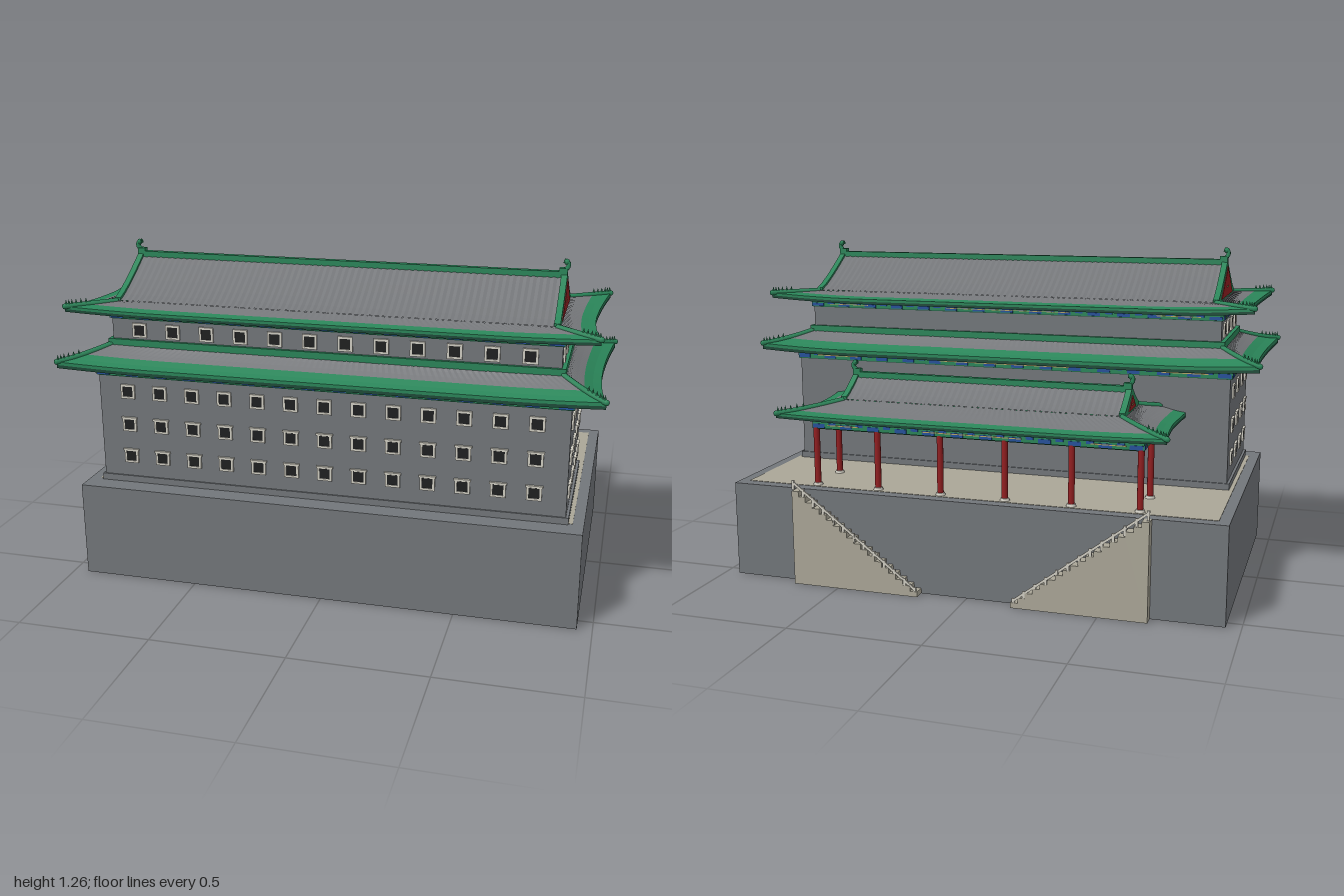
import * as THREE from 'three';

const mat = (name, color, side = THREE.FrontSide) => {
  const m = new THREE.MeshStandardMaterial({ color, side });
  m.name = name;
  return m;
};
const M = {
  brick: mat('grey brick', 0x72767a, THREE.DoubleSide),
  tile: mat('grey roof tile', 0x75777a, THREE.DoubleSide),
  green: mat('green glaze', 0x2a8559, THREE.DoubleSide),
  shade: mat('dark green timber', 0x1d4a38, THREE.DoubleSide),
  stone: mat('pale stone', 0xaaa697, THREE.DoubleSide),
  frame: mat('window frame', 0xd0cdc2),
  dark: mat('dark opening', 0x1e1f20),
  red: mat('red lacquer', 0x921e20),
  blue: mat('blue paint', 0x24509a),
  gold: mat('gold paint', 0xb8a468),
};

function add(parent, name, geo, material, x = 0, y = 0, z = 0) {
  const m = new THREE.Mesh(geo, material);
  m.name = name;
  m.position.set(x, y, z);
  parent.add(m);
  return m;
}
const box = (p, name, m, w, h, d, x, y, z) => add(p, name, new THREE.BoxGeometry(w, h, d), m, x, y, z);
function group(parent, name) {
  const g = new THREE.Group();
  g.name = name;
  parent.add(g);
  return g;
}

// Faceted surface from a rule fn(u, v, i) -> [x, y, z]
function grid(fn, nu, nv) {
  const pos = [], idx = [];
  for (let j = 0; j <= nv; j++) for (let i = 0; i <= nu; i++) pos.push(...fn(i / nu, j / nv, i));
  for (let j = 0; j < nv; j++) for (let i = 0; i < nu; i++) {
    const a = j * (nu + 1) + i, b = a + nu + 1;
    idx.push(a, b, a + 1, b, b + 1, a + 1);
  }
  let g = new THREE.BufferGeometry();
  g.setAttribute('position', new THREE.Float32BufferAttribute(pos, 3));
  g.setIndex(idx);
  g = g.toNonIndexed();
  g.computeVertexNormals();
  return g;
}
const lerp = THREE.MathUtils.lerp;

// Four eaves with upswept corners; i = inner halves, e = outer halves, w = wall halves
function skirt(parent, o) {
  const g = group(parent, o.name + 'Eaves');
  g.position.z = o.z;
  for (let k = 0; k < 4; k++) {
    const long = k % 2 === 0, sg = k < 2 ? 1 : -1;
    const pick = a => (long ? a : [a[1], a[0]]);
    const [ia, ip] = pick(o.i), [ea, ep] = pick(o.e), [wa, wp] = pick(o.w);
    const place = (a, y, p) => (long ? [a * sg, y, p * sg] : [p * sg, y, -a * sg]);
    const flare = s => Math.max(0, 1 - (1 - Math.abs(s)) * ea / 0.36) ** 2;
    const top = (s, v, rib = 0) => {
      const f = flare(s), c = 1 - (1 - v) ** 1.4;
      return place(lerp(s * ia, s * (ea + o.c), v), lerp(o.yi, o.ye + o.lift * f, c) + rib, lerp(ip, ep + o.c * f, v));
    };
    const n = 2 * Math.round(ea / 0.012);
    const s = u => u * 2 - 1;
    add(g, 'tiledSlope', grid((u, v, i) => top(s(u), v * o.split, i % 2 ? 0.0018 * (1 - v) : 0), n, 3), M.tile);
    add(g, 'glazedBorder', grid((u, v) => top(s(u), lerp(o.split, 1, v)), n, 2), M.green);
    // Glazed fascia, dark rafter ends below it, and soffit
    const lip = (u, d) => { const p = top(s(u), 1); p[1] -= d; return p; };
    add(g, 'fascia', grid((u, v) => lip(u, v * o.thick * 0.5), n, 1), M.green);
    add(g, 'rafterEnds', grid((u, v) => lip(u, o.thick * (0.5 + v * 0.5)), n, 1), M.shade);
    add(g, 'soffit', grid((u, v) => {
      const a = lip(u, o.thick), b = place(s(u) * wa, o.yw, wp);
      return a.map((q, i) => lerp(q, b[i], v));
    }, n, 1), M.shade);
    // Hip ridge with a row of small finials
    const pts = [0, 0.3, 0.6, 0.85, 1].map(v => new THREE.Vector3(...top(1, v)));
    const hip = new THREE.CatmullRomCurve3(pts);
    add(g, 'hipRidge', new THREE.TubeGeometry(hip, 10, 0.011, 6), M.green);
    add(g, 'hipTip', new THREE.SphereGeometry(0.011, 6, 4), M.green, ...pts[4].toArray());
    for (let j = 0; j < 6; j++) {
      const p = hip.getPoint(0.5 + j * 0.09);
      add(g, 'hipFinial', new THREE.ConeGeometry(0.006, 0.02, 5), M.green, p.x, p.y + 0.015, p.z);
    }
  }
}

// Gabled upper part: two curved slopes, gable ends, ridge and ridge ornaments
function gable(parent, o) {
  const g = group(parent, o.name + 'Gable');
  g.position.z = o.z;
  const [gx, gz] = o.i;
  const h = o.yr - o.yi, yAt = t => o.yi + h * t ** 1.2;
  const n = 2 * Math.round(gx / 0.012);
  for (const s of [1, -1]) {
    add(g, 'mainSlope', grid((u, v, i) =>
      [(u * 2 - 1) * gx, yAt(1 - v) + (i % 2 ? 0.003 : 0), s * v * gz], n, 6), M.tile);
    // Gable wall with its red panel
    const shape = new THREE.Shape();
    shape.moveTo(-gz, o.yi - 0.015);
    for (let i = 0; i <= 12; i++) {
      const z = -1 + i / 6;
      shape.lineTo(z * gz, yAt(1 - Math.abs(z)) + 0.012);
    }
    shape.lineTo(gz, o.yi - 0.015);
    const end = add(g, 'gableEnd', new THREE.ExtrudeGeometry(shape, { depth: 0.022, bevelEnabled: false }), M.green);
    end.rotation.y = Math.PI / 2;
    end.position.x = s * gx - 0.011;
    const tri = new THREE.Shape();
    tri.moveTo(-gz * o.panel, o.yi + 0.006);
    tri.lineTo(gz * o.panel, o.yi + 0.006);
    tri.lineTo(0, o.yp);
    const panel = add(g, 'gablePanel', new THREE.ExtrudeGeometry(tri, { depth: 0.004, bevelEnabled: false }), M.red);
    panel.rotation.y = Math.PI / 2;
    panel.position.x = s * (gx + 0.012) - 0.002;
    for (const z of [-0.09, 0, 0.09])
      box(g, 'gableGilding', M.gold, 0.003, 0.005, 0.007, s * (gx + 0.014), o.yi + h * 0.32, z * gz);
    // Ridge-end ornament
    const k = 0.06;
    box(g, 'ridgeEnd', M.green, 0.03, k * 0.6, 0.024, s * (gx - 0.004), o.yr + k * 0.15, 0);
    const horn = new THREE.CatmullRomCurve3([[0, 0.3], [0.012, 0.55], [0.01, 0.8], [-0.004, 0.88]]
      .map(([x, y]) => new THREE.Vector3(s * (gx + x), o.yr + y * k, 0)));
    add(g, 'ridgeHorn', new THREE.TubeGeometry(horn, 8, 0.009, 6), M.green);
    add(g, 'ridgeKnob', new THREE.SphereGeometry(0.011, 6, 5), M.green, s * (gx + 0.006), o.yr + k * 0.82, 0);
  }
  box(g, 'mainRidge', M.green, gx * 2, 0.034, 0.024, 0, o.yr - 0.002, 0);
}

// Painted beam ring: green with blue panels, gold lines and red bracket ends
function frieze(parent, hx, hz, y, h, z) {
  const g = group(parent, 'paintedFrieze');
  g.position.set(0, y, z);
  box(g, 'beam', M.green, hx * 2, h, hz * 2, 0, 0, 0);
  box(g, 'beamUnderside', M.shade, hx * 2 - 0.01, 0.004, hz * 2 - 0.01, 0, -h / 2 - 0.001, 0);
  for (let k = 0; k < 4; k++) {
    const side = group(g, 'paintedSide');
    side.rotation.y = k * Math.PI / 2;
    const [half, out] = k % 2 ? [hz, hx] : [hx, hz];
    const n = Math.round(half / 0.06) * 2 + 1, st = half * 2 / n;
    for (let i = 0; i < n; i++) {
      const x = -half + st * (i + 0.5);
      // Longer low panels alternate with short high ones
      if (i % 2 === 0) box(side, 'bluePanel', M.blue, st * 0.85, h * 0.46, 0.005, x, -h * 0.2, out);
      else box(side, 'bluePanel', M.blue, st * 0.5, h * 0.3, 0.005, x, h * 0.02, out);
      for (const d of [-0.25, 0.25])
        box(side, 'redBracket', M.red, st * 0.12, h * 0.15, 0.006, x + d * st, h * 0.34, out);
    }
    // Long gold lines at the middle and near both ends
    for (const [c, w] of [[0, 0.6], [-0.8, 0.2], [0.8, 0.2]])
      box(side, 'goldLine', M.gold, half * w, h * 0.1, 0.007, half * c, -h * 0.1, out);
  }
}

function windowAt(parent, x, y, z, turn, lintel) {
  const g = group(parent, 'window');
  g.position.set(x, y, z);
  g.rotation.y = turn;
  for (const s of [1, -1]) {
    box(g, 'jamb', M.frame, 0.008, 0.053, 0.014, s * 0.0235, 0, 0);
    box(g, 'rail', M.frame, 0.055, 0.008, 0.014, 0, s * 0.0235, 0);
  }
  box(g, 'opening', M.dark, 0.04, 0.04, 0.009, 0, 0, 0);
  if (lintel) box(g, 'lintel', M.frame, 0.062, 0.007, 0.018, 0, 0.025, 0);
}

export function createModel() {
  const root = new THREE.Group();
  root.name = 'gateTower';

  // Hollow platform, open below
  const base = group(root, 'platform');
  for (const s of [1, -1]) {
    box(base, 'platformSide', M.brick, 0.01, 0.365, 1.11, s * 0.94, 0.1825, 0.01);
    box(base, 'platformFace', M.brick, 1.88, 0.365, 0.01, 0, 0.1825, 0.01 + s * 0.55);
    box(base, 'gateLeaf', M.red, 0.006, 0.175, 0.09, s * 0.091, 0.09, 0.125);
  }
  box(base, 'platformTop', M.brick, 1.87, 0.01, 1.09, 0, 0.36, 0.01);
  box(base, 'paving', M.stone, 1.81, 0.003, 0.98, 0, 0.365, -0.01);
  add(base, 'passageVault', grid((u, v) => {
    const a = (u * 1.5 - 0.25) * Math.PI, z = lerp(-0.54, 0.56, v);
    if (u < 0.17) return [0.1, u / 0.17 * 0.15, z];
    if (u > 0.83) return [-0.1, (1 - u) / 0.17 * 0.15, z];
    return [0.1 * Math.cos(a), 0.15 + 0.1 * Math.sin(a), z];
  }, 24, 1), M.brick);

  // Rear stairs with stepped balustrades
  for (const s of [1, -1]) {
    const g = group(root, 'stair'), n = 18, x0 = 0.18, x1 = 0.68;
    const sh = new THREE.Shape();
    sh.moveTo(s * x0, 0);
    for (let i = 0; i < n; i++) {
      sh.lineTo(s * lerp(x0, x1, i / n), 0.365 * (i + 1) / n);
      sh.lineTo(s * lerp(x0, x1, (i + 1) / n), 0.365 * (i + 1) / n);
    }
    sh.lineTo(s * x1, 0);
    add(g, 'steps', new THREE.ExtrudeGeometry(sh, { depth: 0.044, bevelEnabled: false }), M.stone, 0, 0, -0.589);
    for (let i = 0; i <= 12; i++)
      box(g, 'balusterPost', M.frame, 0.01, 0.036, 0.008, s * lerp(x0 + 0.01, x1 - 0.005, i / 12), 0.018 + 0.37 * i / 12, -0.584);
    const rail = box(g, 'handrail', M.frame, 0.61, 0.009, 0.006, s * 0.43, 0.21, -0.584);
    rail.rotation.z = s * Math.atan2(0.37, 0.485);
  }

  // Main hall and upper storey
  const hall = group(root, 'hall'), hz = 0.197;
  box(hall, 'plinth', M.brick, 1.78, 0.025, 0.586, 0, 0.378, hz);
  box(hall, 'lowerStorey', M.brick, 1.76, 0.45, 0.575, 0, 0.59, hz);
  box(hall, 'upperStorey', M.brick, 1.67, 0.22, 0.48, 0, 0.92, 0.195);
  [0.473, 0.6, 0.73].forEach((y, r) => {
    for (let i = 0; i < 13; i++) windowAt(hall, (i - 6) * 0.1275, y, hz + 0.288, 0, r < 2);
    for (const z of [0.418, 0.285, 0.142, 0])
      for (const s of [1, -1]) windowAt(hall, s * 0.88, y, z, s * Math.PI / 2, r < 2);
  });
  for (let i = 0; i < 12; i++) windowAt(hall, (i - 5.5) * 0.132, 0.957, 0.435, 0, false);
  for (const z of [0.365, 0.252, 0.142, 0.032])
    for (const s of [1, -1]) windowAt(hall, s * 0.835, 0.957, z, s * Math.PI / 2, false);
  frieze(hall, 0.888, 0.294, 0.808, 0.036, hz);
  frieze(hall, 0.843, 0.247, 1.013, 0.026, 0.195);
  box(hall, 'roofCollar', M.green, 1.7, 0.028, 0.505, 0, 0.907, 0.195);

  // Roofs
  skirt(root, { name: 'lowerRoof', z: 0.195, i: [0.84, 0.245], e: [0.965, 0.365], w: [0.88, 0.29], c: 0.03,
    yi: 0.9, ye: 0.841, lift: 0.018, thick: 0.024, yw: 0.825, split: 0.52 });
  const upper = { name: 'upperRoof', z: 0.195, i: [0.81, 0.235], e: [0.93, 0.32], w: [0.835, 0.24], c: 0.035,
    yi: 1.064, ye: 1.043, lift: 0.018, thick: 0.02, yw: 1.024, split: 0.58, yr: 1.195, yp: 1.182, panel: 0.71 };
  skirt(root, upper);
  gable(root, upper);

  // Rear porch
  const porch = group(root, 'porch');
  const pr = { name: 'porchRoof', z: -0.285, i: [0.54, 0.125], e: [0.7, 0.27], w: [0.64, 0.2], c: 0.033,
    yi: 0.69, ye: 0.646, lift: 0.014, thick: 0.018, yw: 0.622, split: 0.72, yr: 0.765, yp: 0.746, panel: 0.5 };
  skirt(porch, pr);
  gable(porch, pr);
  frieze(porch, 0.637, 0.2, 0.606, 0.034, -0.285);
  const column = (x, z) => {
    add(porch, 'column', new THREE.CylinderGeometry(0.012, 0.012, 0.225, 12), M.red, x, 0.48, z);
    add(porch, 'columnBase', new THREE.CylinderGeometry(0.016, 0.019, 0.01, 12), M.frame, x, 0.371, z);
  };
  for (let i = 0; i < 6; i++) column((i - 2.5) * 0.25, -0.475);
  for (const s of [1, -1]) column(s * 0.625, -0.285);

  return root;
}
